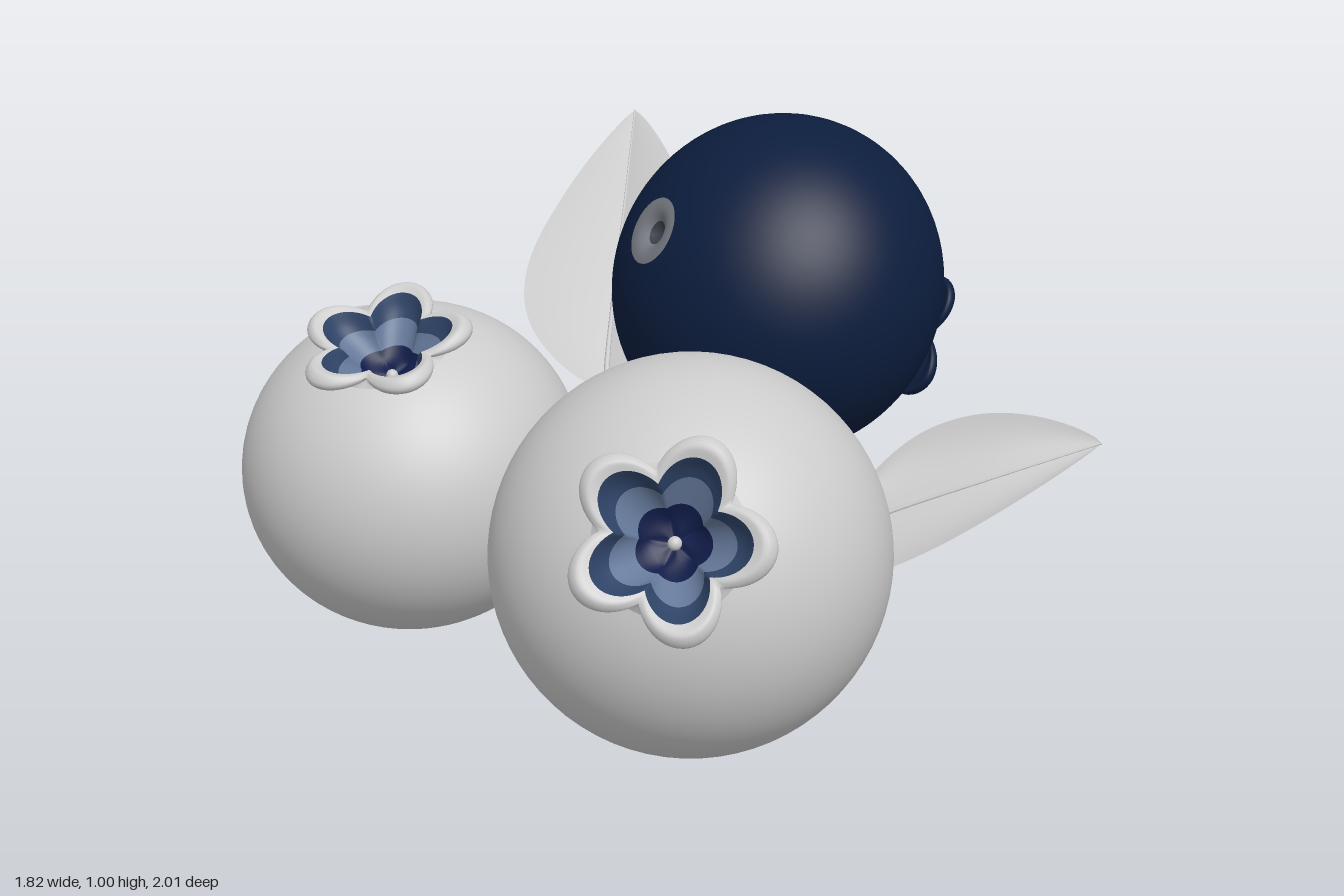
import * as THREE from 'three';

const GREY = 0xcccccc, NAVY = 0x0c1d3d;
const V = (x, y, z) => new THREE.Vector3(x, y, z);
const mat = (color, side = THREE.FrontSide) => new THREE.MeshStandardMaterial({ color, side });

function add(group, name, geometry, material) {
  const mesh = new THREE.Mesh(geometry, material);
  mesh.name = name;
  group.add(mesh);
  return mesh;
}

// Smooth surface from a rule fn(u, v); wrap joins the v direction into a ring
function surface(nu, nv, fn, wrap = false) {
  const pos = [], index = [], cols = wrap ? nv : nv + 1;
  for (let i = 0; i <= nu; i++)
    for (let j = 0; j < cols; j++) pos.push(...fn(i / nu, j / nv).toArray());
  for (let i = 0; i < nu; i++)
    for (let j = 0; j < nv; j++) {
      const k = (j + 1) % cols;
      const a = i * cols + j, b = i * cols + k, c = a + cols, d = b + cols;
      index.push(a, b, c, b, d, c);
    }
  const g = new THREE.BufferGeometry();
  g.setAttribute('position', new THREE.Float32BufferAttribute(pos, 3));
  g.setIndex(index);
  g.computeVertexNormals();
  return g;
}

// Five-lobed ring: each row is [radius, lobe radius, height, lobe height]
function lobedRing(rows, from = 0, to = 1, steps = 20) {
  const base = new THREE.CatmullRomCurve3(rows.map(r => V(r[0], r[2], 0)));
  const lobe = new THREE.CatmullRomCurve3(rows.map(r => V(r[1], r[3], 0)));
  return surface(steps, 120, (u, v) => {
    const t = from + (to - from) * u, angle = v * Math.PI * 2;
    const w = 2 * Math.abs(Math.cos(2.5 * angle)) - 1;
    const p = base.getPoint(t).addScaledVector(lobe.getPoint(t), w);
    return V(p.x * Math.cos(angle), p.y, p.x * Math.sin(angle));
  }, true);
}

const CROWN = [
  [0.38, 0, 0.85, 0], [0.36, 0.02, 0.89, 0], [0.38, 0.06, 0.91, 0], [0.41, 0.09, 0.9, 0],
  [0.42, 0.09, 0.93, 0.01], [0.38, 0.08, 0.955, 0.03], [0.33, 0.07, 0.94, 0.02]];
const CUP = [
  [0.33, 0.07, 0.94, 0.02], [0.29, 0.06, 0.88, 0], [0.22, 0.03, 0.79, 0],
  [0.12, 0, 0.69, 0], [0.002, 0, 0.65, 0]];

// Flattened ball with a small dimple at the lower pole
function bodyPoint(a) {
  const r = Math.sin(a);
  return new THREE.Vector2(r, -0.94 * Math.cos(a) + 0.09 * Math.exp(-((r / 0.09) ** 2)) * (a < 1 ? 1 : 0));
}
function bodyLathe(from, to, n) {
  const pts = [];
  for (let i = 0; i <= n; i++) pts.push(bodyPoint(from + (to - from) * i / n));
  return new THREE.LatheGeometry(pts, 72);
}

// Berry: axis points through the crown, hint turns one lobe towards a direction
function berry({ name, centre, radius, axis, hint, skin, cup, scar }) {
  const g = new THREE.Group();
  g.name = name;
  add(g, 'berryBody', bodyLathe(0.2, Math.PI - 0.38, 60), mat(skin));
  add(g, 'scarCentre', bodyLathe(0, 0.07, 8), mat(scar[0]));
  add(g, 'scarRing', bodyLathe(0.07, 0.2, 12), mat(scar[1]));
  add(g, 'crownLobes', lobedRing(CROWN), mat(skin, THREE.DoubleSide));
  const cuts = [0, 0.35, 0.62, 1];
  cup.forEach((c, i) => add(g, 'crownCup' + (i + 1),
    lobedRing(CUP, cuts[i], cuts[i + 1], 8), mat(c, THREE.DoubleSide)));
  add(g, 'crownPip', new THREE.SphereGeometry(0.035, 16, 12), mat(GREY)).position.y = 0.67;

  const y = axis.clone().normalize();
  const x = hint.clone().addScaledVector(y, -hint.dot(y)).normalize();
  g.quaternion.setFromRotationMatrix(new THREE.Matrix4().makeBasis(x, y, x.clone().cross(y)));
  g.position.copy(centre);
  g.scale.setScalar(radius);
  return g;
}

// Leaf: two curved halves hung from a midrib, with a tapering stalk running into it
function leaf({ name, rib, sides, stalk, cup }) {
  const g = new THREE.Group();
  g.name = name;
  const mid = new THREE.CatmullRomCurve3(rib);
  const green = mat(GREY, THREE.DoubleSide);
  sides.forEach((side, k) => add(g, 'leafHalf' + (k + 1), surface(40, 10, (t, s) => {
    const width = Math.sin(Math.PI * Math.pow(t, 0.8)) ** 0.85 || 0;
    return mid.getPoint(t).addScaledVector(side, width * s)
      .addScaledVector(cup, width * 4 * s * (1 - s));
  }), green));

  const path = new THREE.CatmullRomCurve3([...stalk, ...rib]);
  add(g, 'stalk', surface(50, 10, (t, v) => {
    const p = path.getPoint(t), d = path.getTangent(t), a = v * Math.PI * 2;
    const n = V(0.3, 0.2, 1).cross(d).normalize(), b = d.clone().cross(n);
    const r = 0.002 + 0.011 * (1 - t) ** 1.5;
    return p.addScaledVector(n, r * Math.cos(a)).addScaledVector(b, r * Math.sin(a));
  }, true), green);
  return g;
}

export function createModel() {
  const model = new THREE.Group();
  model.name = 'berriesWithLeaves';
  const blueCup = [0x2f4468, 0x65799a, 0x101c48];

  // Three berries
  model.add(
    berry({ name: 'frontBerry', centre: V(0.2, 0.39, 0.6), radius: 0.39,
      axis: V(0.12, 0.47, 0.87), hint: V(1, 0, 0), skin: GREY, cup: blueCup, scar: [GREY, GREY] }),
    berry({ name: 'rightBerry', centre: V(-0.485, 0.375, 0.275), radius: 0.355,
      axis: V(-0.04, 0.94, 0.33), hint: V(0, 0, -1), skin: GREY, cup: blueCup, scar: [GREY, GREY] }),
    berry({ name: 'backBerry', centre: V(0.15, 0.635, -0.314), radius: 0.375,
      axis: V(0.65, -0.48, -0.59), hint: V(0, -1, 0), skin: NAVY, cup: [GREY, GREY, GREY],
      scar: [0x3a3f48, 0x777b82] }));

  // Three leaves
  model.add(
    leaf({ name: 'backLeaf',
      rib: [V(-0.23, 0.36, -0.28), V(-0.27, 0.49, -0.46), V(-0.31, 0.64, -0.69), V(-0.37, 0.81, -1)],
      sides: [V(-0.21, 0, 0.02), V(0.18, 0.09, -0.02)],
      stalk: [V(-0.17, 0.18, -0.21), V(-0.2, 0.27, -0.24)], cup: V(0, 0.01, -0.005) }),
    leaf({ name: 'rightLeaf',
      rib: [V(-0.35, 0.24, -0.2), V(-0.5, 0.31, -0.22), V(-0.7, 0.39, -0.225), V(-0.91, 0.48, -0.23)],
      sides: [V(-0.03, 0.16, -0.08), V(0.04, -0.06, 0.18)],
      stalk: [V(-0.24, 0.14, -0.26), V(-0.29, 0.2, -0.23)], cup: V(0, -0.012, -0.012) }),
    leaf({ name: 'leftLeaf',
      rib: [V(0.36, 0.25, 0.15), V(0.49, 0.31, 0.12), V(0.69, 0.39, 0.08), V(0.91, 0.47, 0.02)],
      sides: [V(0.05, 0.15, -0.1), V(-0.03, -0.08, 0.17)],
      stalk: [V(0.26, 0.17, 0.13), V(0.31, 0.21, 0.15)], cup: V(0, -0.012, -0.012) }));
  return model;
}
